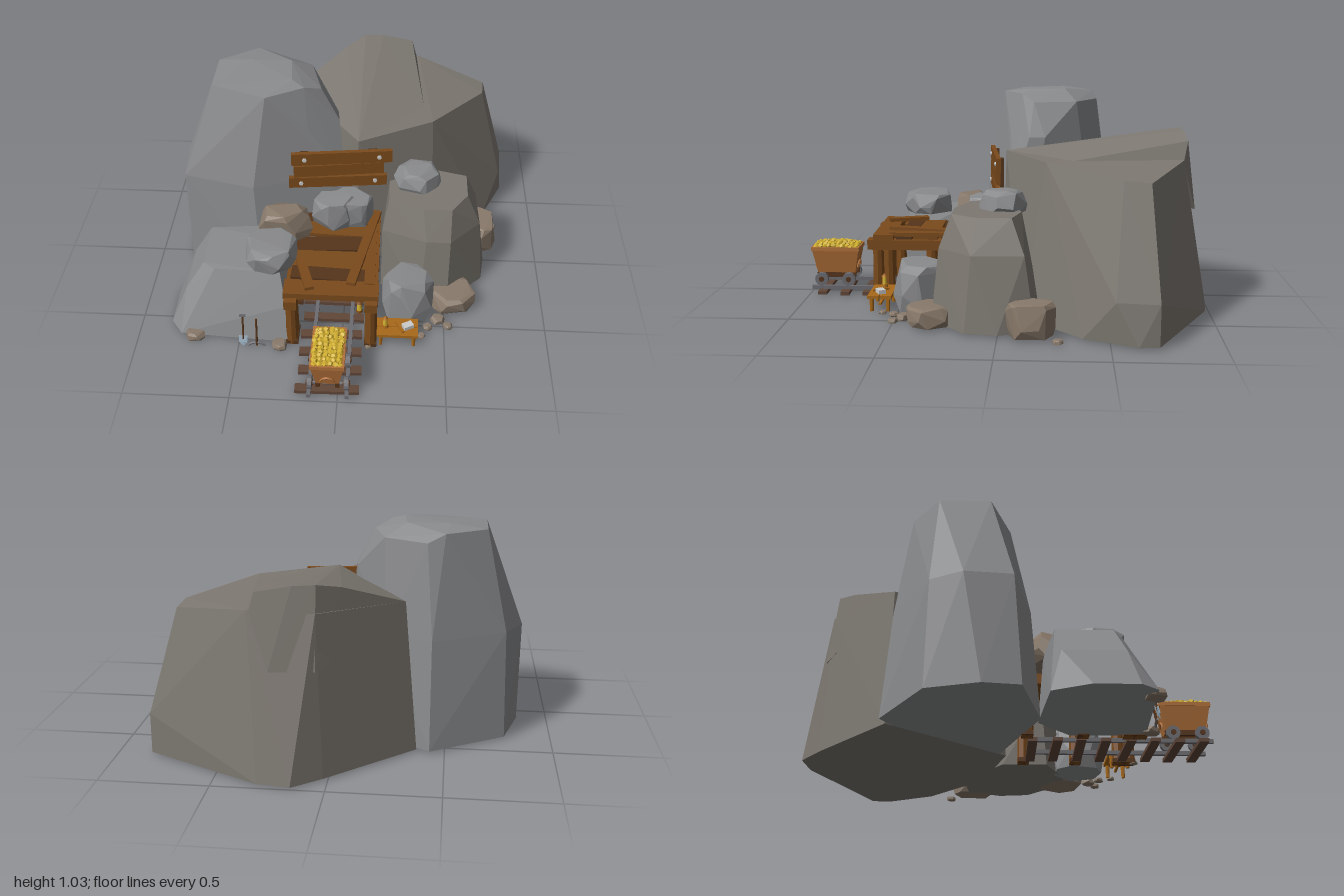
import * as THREE from 'three';
import { ConvexGeometry } from 'three/addons/geometries/ConvexGeometry.js';

const GREY = 0x8a8b8d, WARM = 0x7d7871, TAN = 0x88796a, WOOD = 0x7a4a1c, DARK = 0x55351c, TIE = 0x604638,
  ORANGE = 0xb0703a, STEEL = 0x6c6c71, GOLD = 0xd2b030, YELLOW = 0xa8691a;
const mats = {};
const mat = c => mats[c] ??= new THREE.MeshStandardMaterial({ color: c, flatShading: true });
let seed = 7;
const rnd = () => (seed = (seed * 16807) % 2147483647) / 2147483647;

function add(parent, name, geo, color, x = 0, y = 0, z = 0) {
  const m = new THREE.Mesh(geo, mat(color));
  m.name = name;
  m.position.set(x, y, z);
  parent.add(m);
  return m;
}
function group(parent, name, x = 0, y = 0, z = 0) {
  const g = new THREE.Group();
  g.name = name;
  g.position.set(x, y, z);
  parent.add(g);
  return g;
}
const box = (p, name, c, w, h, d, x, y, z) => add(p, name, new THREE.BoxGeometry(w, h, d), c, x, y, z);
const cyl = (p, name, c, r1, r2, h, x, y, z, n = 10) => add(p, name, new THREE.CylinderGeometry(r1, r2, h, n), c, x, y, z);

// Beam of given width and height running between two points
function beam(p, name, c, a, b, w, h) {
  const A = new THREE.Vector3(...a), B = new THREE.Vector3(...b);
  const m = box(p, name, c, w, h, A.distanceTo(B), 0, 0, 0);
  m.position.copy(A).add(B).multiplyScalar(0.5);
  m.lookAt(B);
  return m;
}
// Faceted cliff: hull around hand-placed corners [x, y, z]
const cliff = (p, name, c, pts) => add(p, name, new ConvexGeometry(pts.map(q => new THREE.Vector3(...q))), c);
// Corners of one level, given as [x, z]
const level = (y, pts) => pts.map(([x, z]) => [x, y, z]);

// Smaller irregular boulder filling the box x0..x1, y0..y1, z0..z1
function boulder(p, name, c, x0, x1, y0, y1, z0, z1, n = 6, taper = 0.78) {
  const pts = [], off = rnd() * 6;
  for (const [t, s] of [[0, 0.94], [0.3, 1], [0.8, (1 + taper) / 2], [1, taper - 0.08]])
    for (let i = 0; i < n; i++) {
      const a = off + (i + rnd() * 0.6) / n * Math.PI * 2, k = s * (0.95 + rnd() * 0.12) / 2;
      const high = t === 1 ? 0.9 + rnd() * 0.1 : t && t + (rnd() - 0.5) * 0.2;
      pts.push([(x0 + x1) / 2 + Math.cos(a) * k * (x1 - x0), y0 + (y1 - y0) * high,
        (z0 + z1) / 2 + Math.sin(a) * k * (z1 - z0)]);
    }
  return cliff(p, name, c, pts);
}

function buildRocks(root) {
  const g = group(root, 'rocks');
  cliff(g, 'tallCliff', GREY, [
    ...level(0.01, [[-0.43, -0.57], [-0.78, -0.36], [-0.85, -0.12], [-0.83, 0.05], [-0.45, 0.15], [-0.22, 0.06], [0.02, -0.02], [-0.05, -0.2], [-0.2, -0.42]]),
    ...level(0.53, [[-0.85, -0.2], [-0.83, 0.02], [-0.47, 0.11], [-0.77, -0.35], [-0.43, -0.53], [-0.21, -0.42], [-0.02, -0.04]]),
    ...level(0.8, [[-0.05, -0.12], [-0.06, -0.2], [-0.2, -0.02]]),
    ...level(0.97, [[-0.14, -0.14], [-0.2, -0.36], [-0.4, -0.47]]),
    ...level(1.01, [[-0.67, -0.08], [-0.67, -0.32], [-0.4, 0.02], [-0.22, -0.08], [-0.48, -0.45]]),
    ...level(1.03, [[-0.28, -0.12], [-0.3, -0.3], [-0.5, -0.3]])]);
  // Wide cliff: a broad body with a higher ridge along its back left
  cliff(g, 'wideCliff', WARM, [
    ...level(0.01, [[-0.37, -0.55], [0.02, -0.9], [0.15, -1], [0.3, -0.98], [0.84, -0.71], [0.85, -0.62], [0.74, -0.38], [0.45, -0.1], [0.05, 0.01]]),
    ...level(0.2, [[0.84, -0.71], [0.82, -0.52]]),
    [0.05, 0.75, -0.01], [0.42, 0.745, -0.21], [0.69, 0.71, -0.55], [0.7, 0.7, -0.67],
    [0.35, 0.75, -0.85], [0.05, 0.75, -0.88], [-0.31, 0.72, -0.54]]);
  cliff(g, 'wideCliffRidge', WARM, [
    [0.05, 0.75, -0.01], [-0.31, 0.72, -0.54], [-0.05, 0.84, -0.77], [0.05, 0.87, -0.86], [0.15, 0.865, -0.87],
    [0.31, 0.835, -0.87], [0.34, 0.74, -0.85], [0.38, 0.74, -0.3], [0.05, 0.5, -0.9], [0.25, 0.5, -0.92]]);
  cliff(g, 'frontLeftCliff', GREY, [
    ...level(0.01, [[-0.77, 0.17], [-0.85, 0.34], [-0.85, 0.54], [-0.79, 0.62], [-0.26, 0.65], [-0.24, 0.3], [-0.4, 0.14]]),
    ...level(0.2, [[-0.77, 0.22], [-0.77, 0.5], [-0.27, 0.6]]),
    ...level(0.34, [[-0.68, 0.2], [-0.68, 0.46], [-0.62, 0.5], [-0.4, 0.17]]),
    ...level(0.36, [[-0.3, 0.53], [-0.27, 0.3]])]);
  cliff(g, 'frontRightCliff', WARM, [
    ...level(0.01, [[0.18, 0.22], [0.38, 0.32], [0.52, 0.32], [0.7, 0.15], [0.72, 0], [0.66, -0.17], [0.45, -0.2], [0.18, 0]]),
    ...level(0.36, [[0.18, 0.2], [0.4, 0.28], [0.52, 0.28], [0.67, 0.12], [0.66, -0.12]]),
    ...level(0.52, [[0.21, 0.16], [0.38, 0.22], [0.52, 0.22], [0.6, 0.1], [0.6, -0.06], [0.45, -0.1], [0.21, 0]])]);

  // Stones resting on the cliffs and above the tunnel
  boulder(g, 'capStone', GREY, 0.23, 0.47, 0.5, 0.61, -0.12, 0.11, 6, 0.7);
  boulder(g, 'ledgeStone', GREY, -0.48, -0.22, 0.36, 0.47, 0.3, 0.56, 7, 0.95);
  boulder(g, 'ledgeStone', TAN, -0.45, -0.17, 0.32, 0.47, 0.1, 0.28);
  boulder(g, 'tunnelStone', GREY, -0.18, 0.04, 0.34, 0.5, 0.05, 0.2, 6, 0.95);
  boulder(g, 'tunnelStone', GREY, -0.09, 0.13, 0.34, 0.49, 0, 0.18, 6, 0.95);
  // Stones on the ground
  boulder(g, 'groundStone', GREY, 0.18, 0.45, 0.01, 0.25, 0.26, 0.52, 7, 0.85);
  boulder(g, 'groundStone', TAN, 0.43, 0.66, 0.01, 0.1, 0.21, 0.44, 7, 0.9);
  boulder(g, 'groundStone', TAN, 0.62, 0.79, 0.01, 0.17, -0.26, -0.04, 6, 0.95);
  for (const [x, z, s] of [[0.78, -0.27, 0.05], [0.47, 0.46, 0.07], [0.52, 0.5, 0.05], [0.42, 0.51, 0.05],
    [0.39, 0.57, 0.04], [-0.3, 0.67, 0.08], [-0.72, 0.62, 0.1], [0.13, 0.65, 0.04]])
    boulder(g, 'pebble', TAN, x - s / 2, x + s / 2, 0, s * 0.4, z - s / 2, z + s / 2);
}

function buildTunnel(root) {
  const g = group(root, 'tunnelFrame');
  for (const x of [-0.24, 0.14]) {
    for (const z of [0.63, 0.575, 0.36, 0.1]) {
      cyl(g, 'post', WOOD, 0.026, 0.03, 0.29, x, 0.15, z, 8);
      box(g, 'postFoot', DARK, 0.06, 0.02, 0.055, x, 0.015, z);
    }
    beam(g, 'sideBeam', WOOD, [x, 0.285, 0.03], [x, 0.285, 0.68], 0.06, 0.05);
  }
  box(g, 'frontBeam', WOOD, 0.45, 0.035, 0.1, -0.05, 0.32, 0.6);
  [[0.49, 0.08], [0.39, 0.12], [0.27, 0.1], [0.16, 0.09], [0.07, 0.06]].forEach(([z, d], i) => {
    const m = box(g, 'roofPlank', i % 2 ? WOOD : DARK, 0.4, 0.02, d, -0.05, 0.315, z);
    m.rotation.set(0.03, (i % 3 - 1) * 0.05, 0);
  });
  beam(g, 'loosePlank', WOOD, [0.15, 0.345, 0.04], [0.04, 0.345, 0.58], 0.045, 0.02);
  beam(g, 'loosePlank', WOOD, [0.13, 0.335, 0.04], [0.13, 0.335, 0.57], 0.05, 0.02);
  beam(g, 'loosePlank', WOOD, [-0.21, 0.345, 0.42], [-0.15, 0.345, 0.62], 0.045, 0.02);
  // Lantern hung from the front beam
  const l = group(g, 'hangingLantern', 0.085, 0.21, 0.62);
  cyl(l, 'lanternBase', WOOD, 0.014, 0.017, 0.012, 0, 0.006, 0);
  cyl(l, 'lanternGlass', GOLD, 0.01, 0.013, 0.045, 0, 0.034, 0);
  cyl(l, 'lanternCap', WOOD, 0.004, 0.016, 0.015, 0, 0.063, 0);
  cyl(l, 'lanternHook', STEEL, 0.003, 0.003, 0.03, 0, 0.085, 0, 6);
}

function buildTrack(root) {
  const g = group(root, 'track', -0.045, 0, 0);
  for (const x of [-0.088, 0.088]) box(g, 'rail', STEEL, 0.018, 0.02, 0.88, x, 0.028, 0.555);
  for (let i = 0; i < 8; i++) {
    const m = box(g, 'sleeper', TIE, 0.3, 0.018, 0.045, (rnd() - 0.5) * 0.02, 0.011, 0.935 - i * 0.115);
    m.rotation.y = (rnd() - 0.5) * 0.06;
  }
}

function buildCart(root) {
  const g = group(root, 'mineCart', -0.045, 0, 0.876);
  // Tub: a box narrowed towards the floor
  const tub = new THREE.BoxGeometry(0.15, 0.125, 0.24), p = tub.attributes.position;
  for (let i = 0; i < p.count; i++) if (p.getY(i) < 0) p.setXYZ(i, p.getX(i) * 0.7, p.getY(i), p.getZ(i) * 0.8);
  add(g, 'tub', tub, ORANGE, 0, 0.155, 0);
  for (const s of [-1, 1]) {
    box(g, 'rim', ORANGE, 0.012, 0.02, 0.248, s * 0.073, 0.225, 0);
    box(g, 'rim', ORANGE, 0.15, 0.02, 0.012, 0, 0.225, s * 0.118);
    box(g, 'chassisRail', DARK, 0.02, 0.025, 0.2, s * 0.045, 0.085, 0);
    const arch = add(g, 'endArch', new THREE.TorusGeometry(0.03, 0.006, 5, 10, Math.PI), ORANGE, 0, 0.12, s * 0.107);
    arch.rotation.x = s * 0.18;
    const axle = cyl(g, 'axle', STEEL, 0.008, 0.008, 0.19, 0, 0.07, s * 0.07, 8);
    axle.rotation.z = Math.PI / 2;
    for (const x of [-0.085, 0.085]) {
      const w = cyl(g, 'wheel', STEEL, 0.034, 0.034, 0.022, x, 0.071, s * 0.07, 14);
      w.rotation.z = Math.PI / 2;
      const hub = cyl(g, 'hub', DARK, 0.014, 0.014, 0.032, x, 0.071, s * 0.07, 8);
      hub.rotation.z = Math.PI / 2;
    }
  }
  // Heap of nuggets
  for (let i = 0; i < 6; i++) for (let j = 0; j < 10; j++) {
    const u = (i - 2.5) / 2.5, v = (j - 4.5) / 4.5;
    const m = add(g, 'nugget', new THREE.DodecahedronGeometry(0.013 + rnd() * 0.005), GOLD,
      u * 0.058 + (rnd() - 0.5) * 0.012, 0.225 + 0.01 * (1 - u * u * v * v) + rnd() * 0.006, v * 0.104);
    m.rotation.set(rnd() * 3, rnd() * 3, 0);
  }
}

function buildSign(root) {
  const g = group(root, 'signBoard', -0.035, 0, 0.05);
  g.rotation.y = 0.12;
  for (const [x, y, w, h, r] of [[0.005, 0.695, 0.5, 0.068, 0], [-0.01, 0.625, 0.45, 0.064, 0.015], [-0.015, 0.553, 0.49, 0.06, -0.01]]) {
    box(g, 'signPlank', WOOD, w, h, 0.022, x, y, 0).rotation.z = r;
    if (r !== 0.015) for (const s of [-1, 1])
      cyl(g, 'bolt', 0xcccccc, 0.011, 0.011, 0.008, x + s * 0.185, y, 0.014, 8).rotation.x = Math.PI / 2;
  }
  for (const x of [-0.18, 0.16]) box(g, 'signStrut', DARK, 0.04, 0.19, 0.02, x, 0.625, -0.02);
}

function buildBenchAndTools(root) {
  const b = group(root, 'bench', 0.27, 0, 0.59);
  for (const z of [-0.03, 0.03]) box(b, 'benchTop', YELLOW, 0.2, 0.016, 0.056, 0, 0.073, z);
  for (const x of [-0.08, 0.08]) for (const z of [-0.04, 0.04])
    cyl(b, 'benchLeg', YELLOW, 0.011, 0.009, 0.068, x, 0.034, z, 6);
  box(b, 'benchBrace', YELLOW, 0.16, 0.012, 0.012, 0, 0.035, 0);
  cyl(b, 'lampBase', YELLOW, 0.014, 0.018, 0.015, -0.06, 0.089, 0);
  cyl(b, 'lampGlass', GOLD, 0.009, 0.012, 0.04, -0.06, 0.115, 0);
  cyl(b, 'lampCap', YELLOW, 0.003, 0.014, 0.014, -0.06, 0.142, 0);
  box(b, 'hammerHead', 0xcccccc, 0.05, 0.02, 0.035, 0.05, 0.092, 0).rotation.y = 0.5;
  beam(b, 'hammerHandle', YELLOW, [0.05, 0.09, 0], [-0.03, 0.086, 0.01], 0.01, 0.01);

  // Shovel and pickaxe leaning on the front left cliff
  const s = group(root, 'shovel', -0.475, 0, 0.68);
  s.rotation.x = -0.2;
  cyl(s, 'shovelHandle', DARK, 0.005, 0.005, 0.13, 0, 0.11, 0, 6);
  box(s, 'shovelGrip', STEEL, 0.03, 0.01, 0.01, 0, 0.178, 0);
  box(s, 'shovelBlade', 0x9fb4c4, 0.042, 0.035, 0.006, 0, 0.043, 0);
  cyl(s, 'shovelTip', 0x9fb4c4, 0.03, 0.002, 0.022, 0, 0.014, 0, 4).scale.set(0.7, 1, 0.12);
  const k = group(root, 'pickaxe', -0.41, 0, 0.68);
  k.rotation.x = -0.2;
  cyl(k, 'pickHandle', DARK, 0.005, 0.006, 0.15, 0, 0.085, 0, 6);
  add(k, 'pickHead', new THREE.TorusGeometry(0.06, 0.006, 5, 8, 1.5), STEEL, 0, -0.035, 0).rotation.z = 0.82;
}

export function createModel() {
  seed = 7;
  const root = new THREE.Group();
  root.name = 'mineEntrance';
  buildRocks(root);
  buildTunnel(root);
  buildTrack(root);
  buildCart(root);
  buildSign(root);
  buildBenchAndTools(root);
  return root;
}
